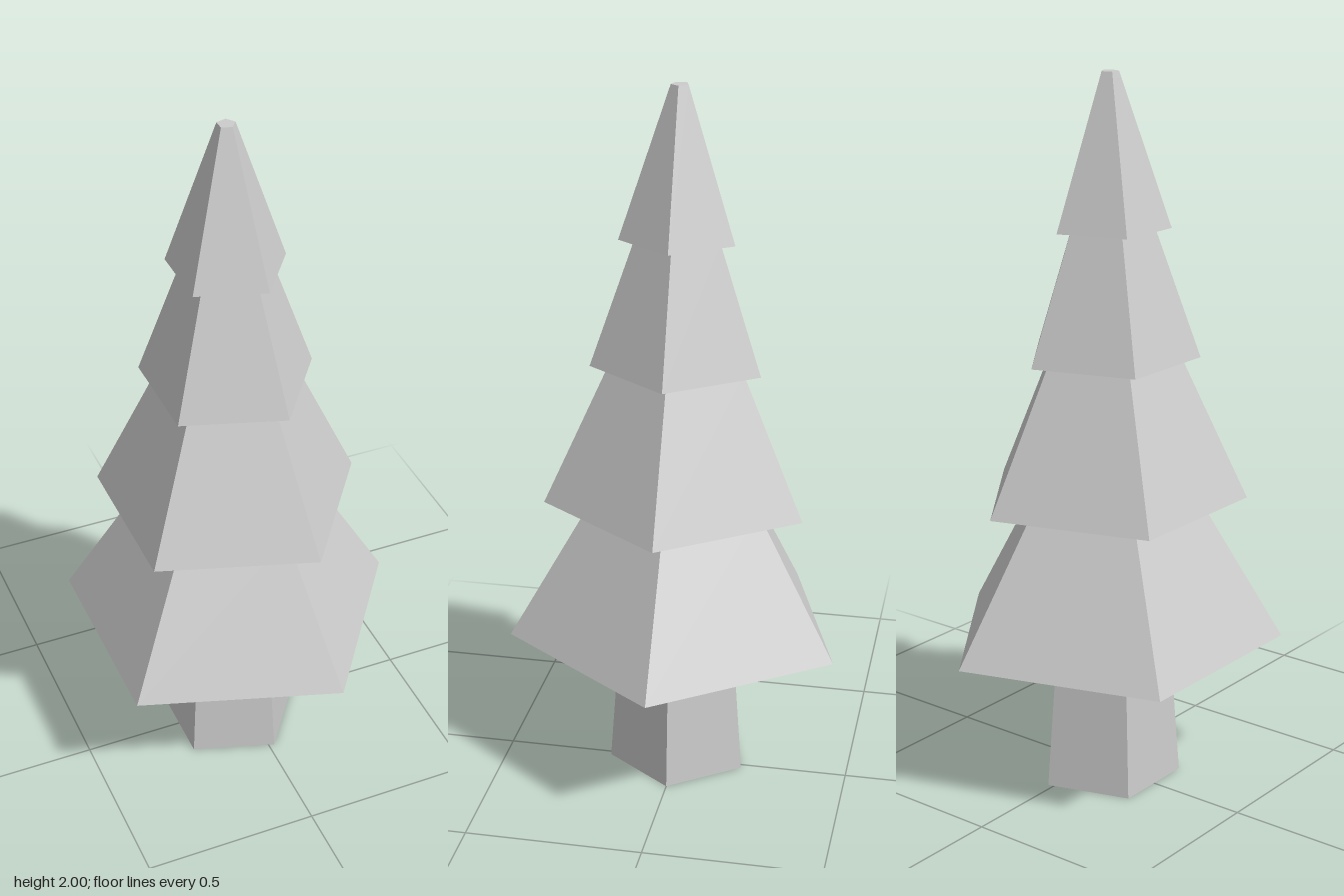
import * as THREE from 'three';

const SIDES = 5;
const AXIS_X = -0.047; // pentagon axis, so that the bounding box is centred

export function createModel() {
  const tree = new THREE.Group();
  tree.name = 'tree';
  const material = new THREE.MeshStandardMaterial({ color: 0xcccccc, flatShading: true });

  // Tapered five-sided section with one corner pointing to +x
  function addSection(name, bottomY, topY, bottomRadius, topRadius) {
    const height = topY - bottomY;
    const geometry = new THREE.CylinderGeometry(
      topRadius, bottomRadius, height, SIDES, 1, false, Math.PI / 2);
    const mesh = new THREE.Mesh(geometry, material);
    mesh.name = name;
    mesh.position.set(AXIS_X, bottomY + height / 2, 0);
    tree.add(mesh);
  }

  addSection('trunk', 0, 0.42, 0.205, 0.173);

  // Foliage tiers from bottom to top: bottom y, top y, bottom radius, top radius
  const tiers = [
    [0.42, 0.83, 0.489, 0.248],
    [0.83, 1.23, 0.383, 0.197],
    [1.23, 1.585, 0.249, 0.123],
    [1.585, 2, 0.167, 0.025],
  ];
  tiers.forEach((tier, i) => addSection(`foliageTier${i + 1}`, ...tier));

  return tree;
}
